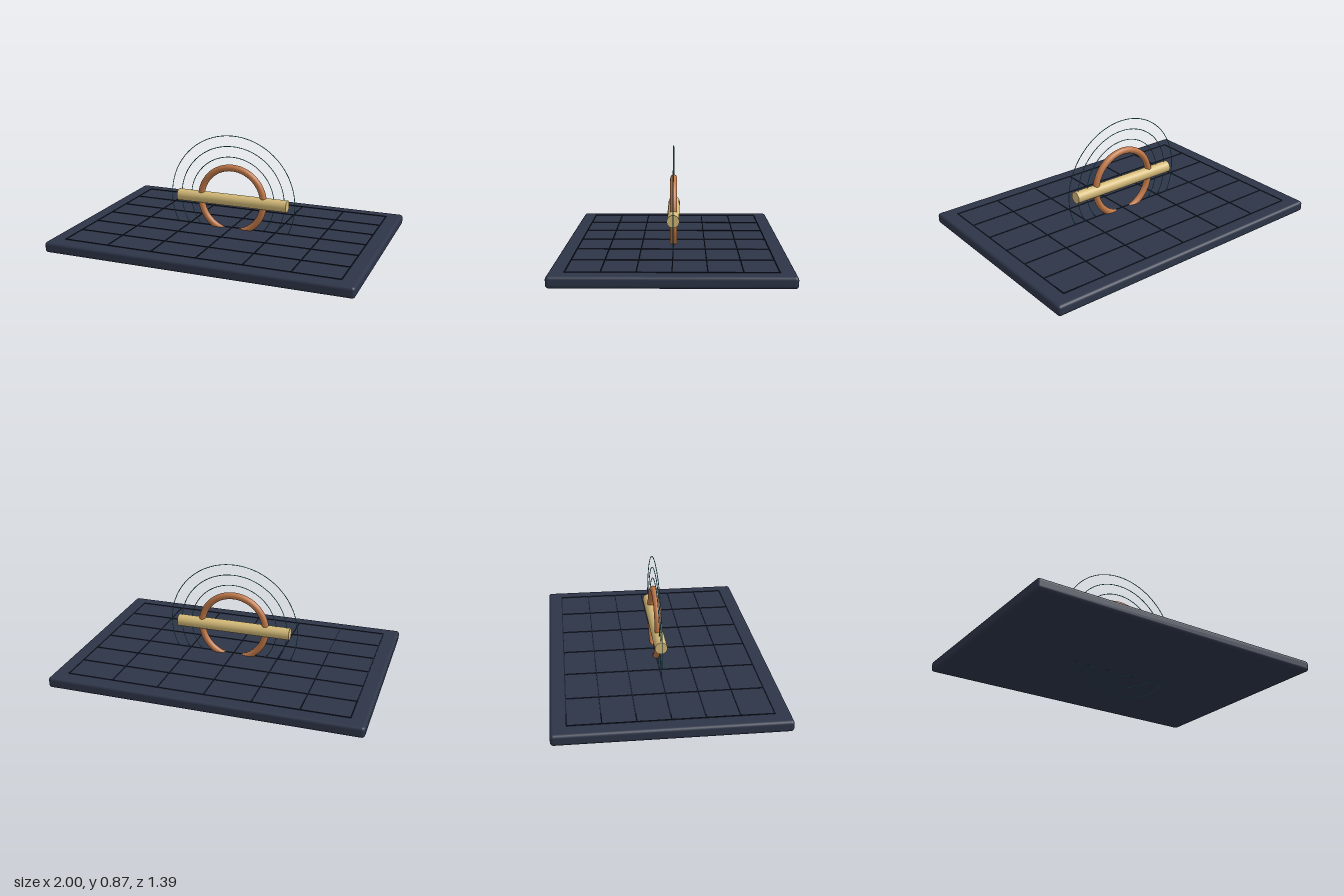
import * as THREE from 'three';
import { RoundedBoxGeometry } from 'three/addons/geometries/RoundedBoxGeometry.js';

const material = (name, color) => {
  const m = new THREE.MeshStandardMaterial({ color });
  m.name = name;
  return m;
};

export function createModel() {
  const model = new THREE.Group();
  model.name = 'coilDemonstration';
  const slate = material('slate', 0x2d3548);
  const ink = material('ink', 0x1a2030);
  const copper = material('copper', 0xc07848);
  const brass = material('brass', 0xd4ba78);
  const teal = material('teal', 0x3a96a6);
  const centreY = 0.435;

  const add = (name, geometry, mat, x = 0, y = 0, z = 0) => {
    const mesh = new THREE.Mesh(geometry, mat);
    mesh.name = name;
    mesh.position.set(x, y, z);
    model.add(mesh);
    return mesh;
  };

  // Board with softly rounded edges
  add('board', new RoundedBoxGeometry(2, 0.07, 1.39, 3, 0.02), slate, 0, 0.21, 0);

  // Grid lines lying on the board
  for (let i = -3; i <= 3; i++) {
    add('gridLineAcross', new THREE.BoxGeometry(1.8, 0.006, 0.006), ink, 0, 0.246, i * 0.2);
    add('gridLineDeep', new THREE.BoxGeometry(0.006, 0.006, 1.2), ink, i * 0.3, 0.246, 0);
  }

  // Copper loop standing through the board
  add('copperLoop', new THREE.TorusGeometry(0.218, 0.022, 16, 72), copper, 0, centreY, 0);

  // Brass rod across the loop
  const rod = add('rod', new THREE.CylinderGeometry(0.039, 0.039, 0.76, 32), brass, 0, centreY, 0);
  rod.rotation.z = Math.PI / 2;

  // Fine field rings around the loop
  for (const radius of [0.29, 0.36, 0.43]) {
    add('fieldRing', new THREE.TorusGeometry(radius, 0.0025, 8, 96), teal, 0, centreY, 0);
  }

  // Stand exactly on the ground
  model.children.forEach((part) => { part.position.y -= 0.0025; });
  return model;
}
